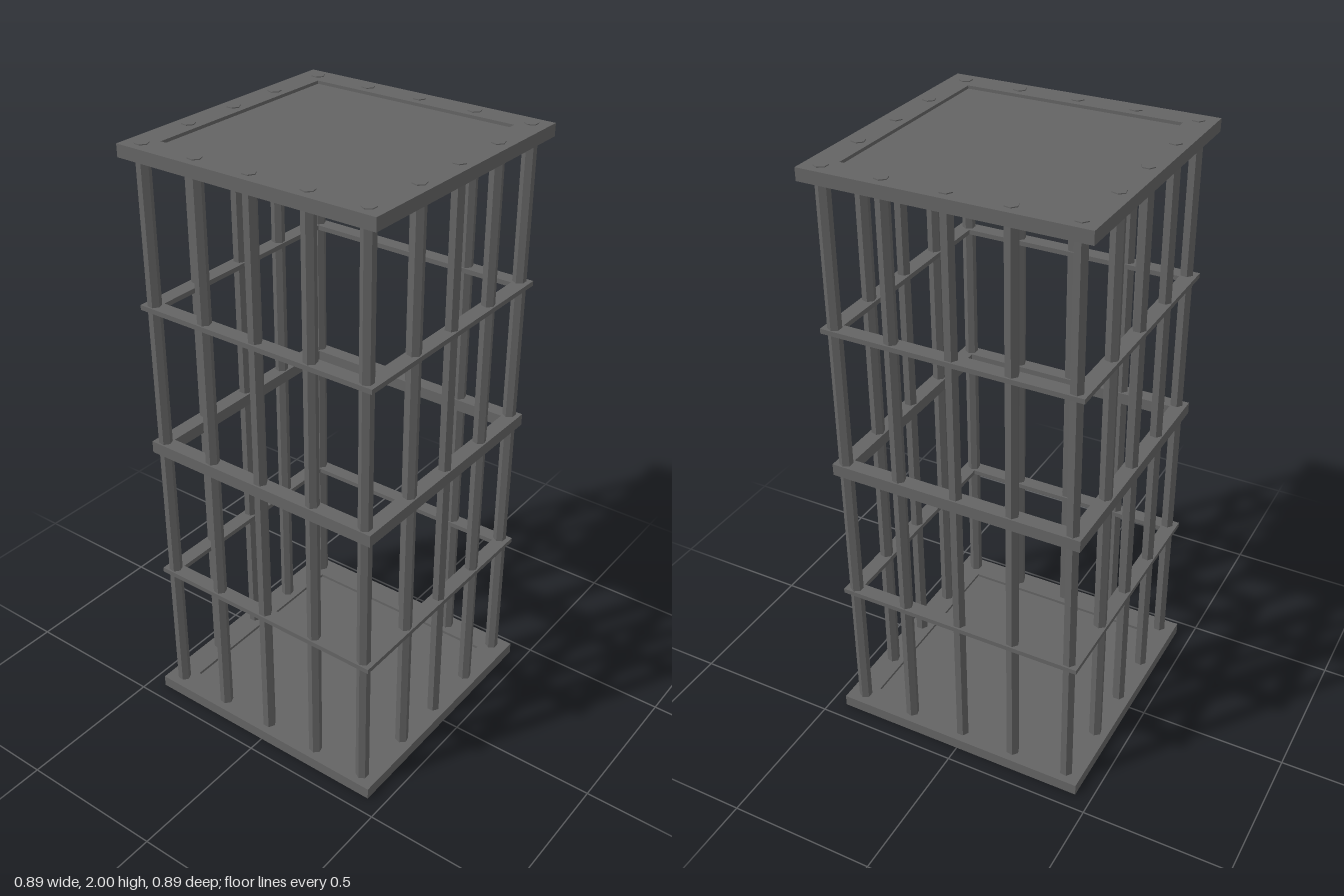
import * as THREE from 'three';

const iron = new THREE.MeshStandardMaterial({ color: 0x646464, flatShading: true });
iron.name = 'dark iron';

// Square frame lying flat, from height y up to y + height
function squareFrame(name, outer, inner, y, height) {
  const square = (Type, r) => {
    const path = new Type();
    path.moveTo(-r, -r);
    path.lineTo(r, -r);
    path.lineTo(r, r);
    path.lineTo(-r, r);
    path.closePath();
    return path;
  };
  const shape = square(THREE.Shape, outer);
  shape.holes.push(square(THREE.Path, inner));
  const geometry = new THREE.ExtrudeGeometry(shape, { depth: height, bevelEnabled: false });
  geometry.rotateX(-Math.PI / 2);
  const mesh = new THREE.Mesh(geometry, iron);
  mesh.name = name;
  mesh.position.y = y;
  return mesh;
}

// Rimmed plate with a panel recessed on both faces
function plate(name, y, height) {
  const group = new THREE.Group();
  group.name = name;
  group.add(squareFrame(name + 'Rim', 0.445, 0.358, y, height));
  const panel = new THREE.Mesh(new THREE.BoxGeometry(0.716, height - 0.02, 0.716), iron);
  panel.name = name + 'Panel';
  panel.position.y = y + height / 2;
  group.add(panel);
  return group;
}

export function createModel() {
  const model = new THREE.Group();
  model.name = 'cage';

  // Floor and roof
  model.add(plate('floor', 0, 0.04), plate('roof', 1.957, 0.04));

  // Horizontal bands
  model.add(
    squareFrame('lowerBand', 0.425, 0.375, 0.504, 0.016),
    squareFrame('middleBand', 0.425, 0.375, 0.98, 0.04),
    squareFrame('upperBand', 0.425, 0.375, 1.482, 0.016),
  );

  // Upright bars, each with its own slight twist: [x, z, twist]
  const bars = [
    [-0.4, -0.193, 0.2], [-0.4, 0, Math.PI / 6], [-0.4, 0.197, 0.4],
    [0.4, -0.2, 0.25], [0.4, 0, Math.PI / 6], [0.4, 0.19, 0.25],
  ];
  for (const z of [-0.4, 0.4]) {
    bars.push([-0.39, z, 0.4], [-0.192, z, 0.35], [0, z, Math.PI / 6], [0.198, z, 0.25], [0.39, z, 0]);
  }
  const barGeometry = new THREE.CylinderGeometry(0.022, 0.022, 1.99, 6);
  for (const [x, z, twist] of bars) {
    const bar = new THREE.Mesh(barGeometry, iron);
    bar.name = 'bar';
    bar.position.set(x, 1.005, z);
    bar.rotation.y = twist;
    model.add(bar);
  }
  return model;
}
